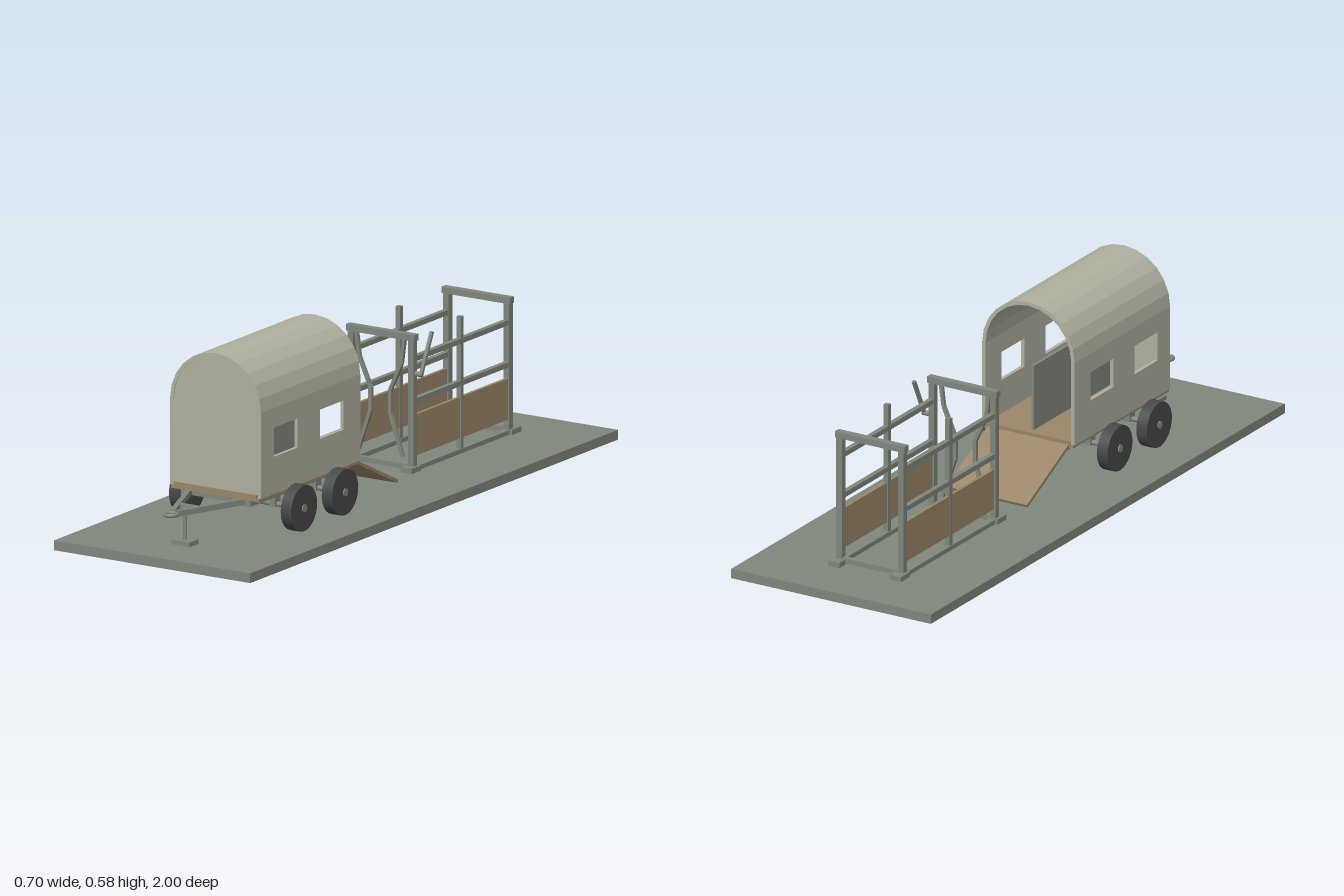
import * as THREE from 'three';

const mat = (name, color) => Object.assign(new THREE.MeshStandardMaterial({ color }), { name });

export function createModel() {
  const steel = mat('grey green steel', 0x80877c);
  const shell = mat('pale canopy', 0xafb09f);
  const timber = mat('timber', 0x9a8669);
  const rubber = mat('tyre rubber', 0x474848);
  const root = new THREE.Group();
  const group = (name) => {
    const g = new THREE.Group();
    g.name = name;
    root.add(g);
    return g;
  };
  const add = (parent, name, geo, m, x = 0, y = 0, z = 0) => {
    const mesh = new THREE.Mesh(geo, m);
    mesh.name = name;
    mesh.position.set(x, y, z);
    parent.add(mesh);
    return mesh;
  };
  // box given by its limits on each axis
  const box = (parent, name, m, x0, x1, y0, y1, z0, z1) =>
    add(parent, name, new THREE.BoxGeometry(x1 - x0, y1 - y0, z1 - z0), m,
      (x0 + x1) / 2, (y0 + y1) / 2, (z0 + z1) / 2);
  // square bar between two points
  const bar = (parent, name, m, a, b, w, h = w) => {
    const p = new THREE.Vector3(...a), q = new THREE.Vector3(...b);
    const mesh = add(parent, name, new THREE.BoxGeometry(w, h, p.distanceTo(q)), m);
    mesh.position.copy(p).add(q).multiplyScalar(0.5);
    mesh.lookAt(q);
    return mesh;
  };
  const extrude = (shape, depth) => new THREE.ExtrudeGeometry(shape, { depth, bevelEnabled: false });

  box(root, 'base', steel, -0.35, 0.35, 0, 0.03, -1, 1);

  // ---- Trailer body ----
  const trailer = group('trailer');
  const R = 0.162, T = 0.012, SPRING = 0.42, Z0 = 0.115, Z1 = 0.655;
  const arc = (r) => Array.from({ length: 13 }, (_, i) => {
    const a = (i * Math.PI) / 12;
    return new THREE.Vector2(r * Math.cos(a), SPRING + r * Math.sin(a));
  });
  const roof = new THREE.Shape([...arc(R), ...arc(R - T).reverse()]);
  add(trailer, 'archedRoof', extrude(roof, Z1 - Z0), shell, 0, 0, Z0);

  const front = new THREE.Shape([
    new THREE.Vector2(-R + T, 0.165), new THREE.Vector2(R - T, 0.165), ...arc(R - T)]);
  add(trailer, 'frontPanel', extrude(front, 0.012), shell, 0, 0, Z1 - 0.014);

  // side walls with two window openings; the shape's x axis runs along -z
  const rect = (C, a, b, c, d) => new C([[a, c], [b, c], [b, d], [a, d]].map((p) => new THREE.Vector2(...p)));
  const wall = rect(THREE.Shape, -Z1, -Z0, 0.155, SPRING);
  for (const z of [0.27, 0.52]) wall.holes.push(rect(THREE.Path, -z - 0.065, -z + 0.065, 0.27, 0.36));
  for (const x of [R - T, -R])
    add(trailer, 'sideWall', extrude(wall, T), shell, x, 0, 0).rotation.y = Math.PI / 2;

  box(trailer, 'floorEdge', timber, -0.157, 0.157, 0.145, 0.155, Z0, Z1 + 0.003);
  box(trailer, 'floor', timber, -0.147, 0.147, 0.155, 0.165, Z0, Z1 + 0.003);
  box(trailer, 'centrePartition', steel, -0.005, 0.005, 0.165, 0.37, 0.14, 0.63);
  bar(trailer, 'ramp', timber, [0, 0.15, 0.115], [0, 0.036, -0.12], 0.284, 0.01);

  // ---- Chassis, axles and wheels ----
  const chassis = group('chassis');
  for (const s of [-1, 1])
    box(chassis, 'chassisRail', steel, s * 0.113 - 0.011, s * 0.113 + 0.011, 0.125, 0.145, Z0, Z1);
  for (const z of [0.15, 0.395, 0.63])
    box(chassis, 'crossMember', steel, -0.105, 0.105, 0.127, 0.145, z - 0.01, z + 0.01);
  const rod = (r, len, n = 20) => new THREE.CylinderGeometry(r, r, len, n).rotateZ(Math.PI / 2);
  for (const z of [0.282, 0.505]) {
    add(chassis, 'axle', rod(0.008, 0.42), steel, 0, 0.102, z);
    for (const s of [-1, 1]) {
      box(chassis, 'axleMount', steel, s * 0.113 - 0.01, s * 0.113 + 0.01, 0.095, 0.126, z - 0.015, z + 0.015);
      add(chassis, 'tyre', rod(0.071, 0.037, 28), rubber, s * 0.199, 0.102, z);
      add(chassis, 'hub', rod(0.012, 0.044), steel, s * 0.199, 0.102, z);
    }
  }

  // ---- Drawbar, coupling ring and parking jack ----
  const hitch = group('hitch');
  for (const s of [-1, 1])
    bar(hitch, 'drawbar', steel, [s * 0.1, 0.138, 0.645], [s * 0.008, 0.138, 0.875], 0.016, 0.018);
  box(hitch, 'drawbarBrace', steel, -0.032, 0.032, 0.132, 0.146, 0.79, 0.81);
  add(hitch, 'couplingRing', new THREE.TorusGeometry(0.019, 0.006, 8, 24).rotateX(Math.PI / 2), steel, 0, 0.138, 0.897);
  add(hitch, 'jackPost', new THREE.CylinderGeometry(0.006, 0.006, 0.1, 14), steel, 0, 0.092, 0.82);
  box(hitch, 'jackFoot', steel, -0.032, 0.032, 0.03, 0.044, 0.795, 0.845);

  // ---- Livestock crush ----
  const crush = group('crush');
  const CX = -0.009, HALF = 0.108, ZF = -0.265, ZM = -0.523, ZB = -0.785;
  for (const s of [-1, 1]) {
    const x = CX + s * HALF;
    for (const z of [ZF, ZM, ZB]) {
      const w = z === ZM ? 0.008 : 0.01;
      box(crush, 'post', steel, x - w, x + w, 0.03, 0.45, z - w, z + w);
    }
    for (const z of [-0.255, -0.8])
      box(crush, 'foot', steel, x - 0.02, x + 0.02, 0.03, 0.046, z - 0.026, z + 0.026);
    box(crush, 'skid', steel, x - 0.011, x + 0.011, 0.03, 0.044, ZB, ZF);
    for (const y of [0.245, 0.375])
      box(crush, 'sideRail', steel, x - 0.008, x + 0.008, y - 0.008, y + 0.008, ZB, ZF);
    box(crush, 'sidePanel', timber, x - 0.005, x + 0.005, 0.075, 0.202, ZB + 0.008, ZF - 0.008);
    // bent neck bars of the head gate
    const path = [[0.085, 0.435], [0.075, 0.36], [0.035, 0.27], [0.035, 0.2], [0.08, 0.07]];
    for (let i = 0; i < path.length - 1; i++) {
      const [a, b] = [path[i], path[i + 1]].map(([px, py]) => [CX + s * px, py, -0.256]);
      bar(crush, 'neckBar', steel, a, b, 0.011);
    }
  }
  for (const z of [ZF, ZB]) {
    box(crush, 'topBeam', steel, CX - HALF - 0.014, CX + HALF + 0.014, 0.432, 0.452, z - 0.011, z + 0.011);
    box(crush, 'bottomBeam', steel, CX - HALF, CX + HALF, 0.034, 0.05, z - 0.008, z + 0.008);
  }
  bar(crush, 'gateLever', steel, [0.128, 0.325, -0.265], [0.128, 0.45, -0.326], 0.01);
  add(crush, 'leverPivot', rod(0.008, 0.035, 12), steel, 0.115, 0.33, -0.267);

  return root;
}
